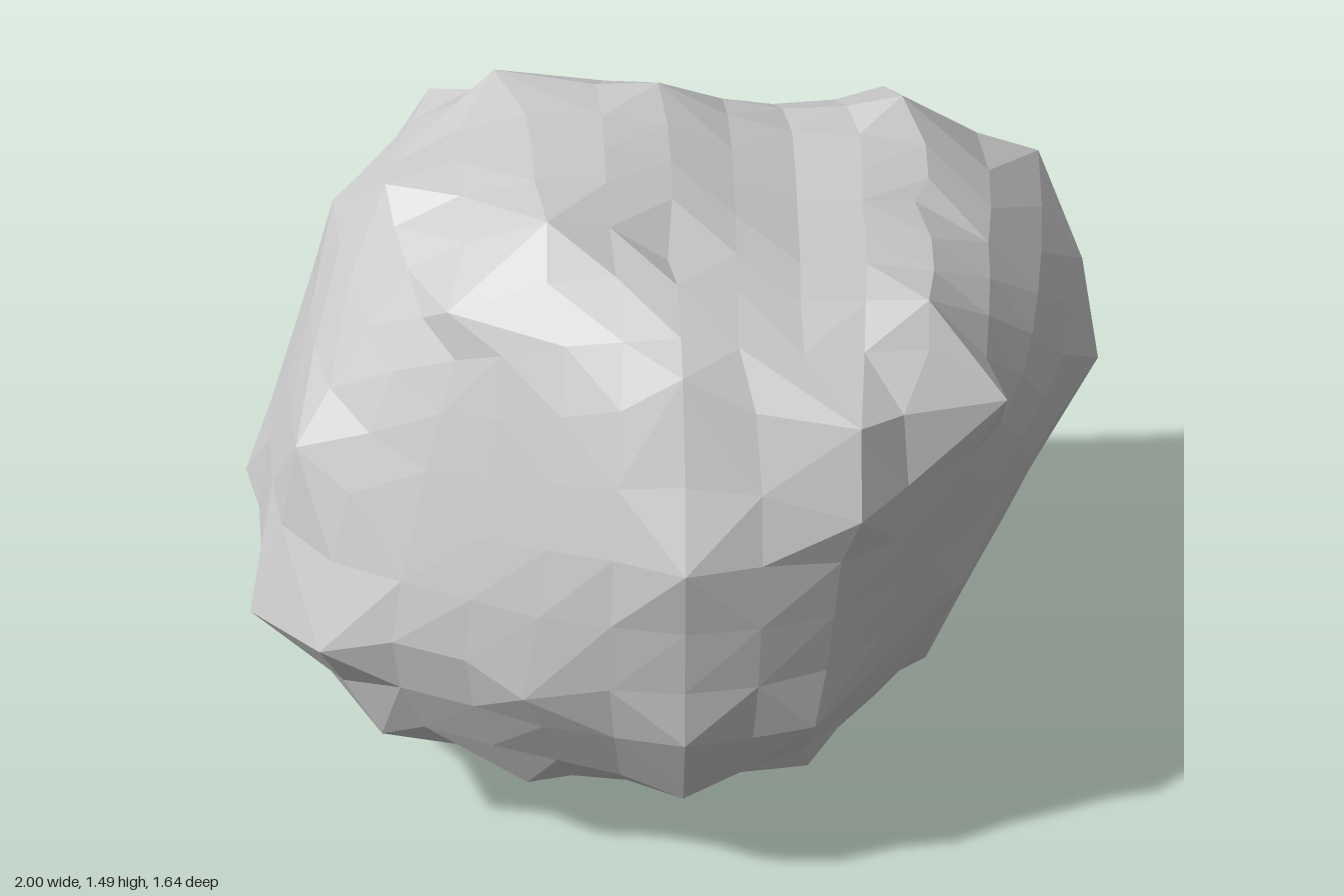
import * as THREE from 'three';
import { mergeVertices } from 'three/addons/utils/BufferGeometryUtils.js';
import { ConvexGeometry } from 'three/addons/geometries/ConvexGeometry.js';

// Corner points that fix the chiselled form of the boulder
const LANDMARKS = [
  // top plateau and the lower hump beside it
  [-0.39, 1.49, -0.36], [-0.27, 1.47, 0.34], [-0.02, 1.48, -0.3], [-0.02, 1.37, 0.33], [0.54, 1.4, -0.38],
  [0.52, 1.32, 0.43], [0.54, 1.3, -0.05], [-0.62, 1.41, 0.04], [-0.75, 1.29, -0.12], [-0.48, 1.31, 0.43],
  // model's right flank
  [-1, 0.55, -0.18], [-0.97, 0.54, -0.4], [-0.95, 0.51, 0.35], [-0.82, 0.95, 0.37], [-0.78, 0.56, 0.58],
  [-0.83, 0.28, -0.1], [-0.77, 1.14, -0.4],
  // front
  [0, 0.9, 0.82], [0.36, 1.0, 0.78], [0.36, 1.18, 0.71], [0, 1.27, 0.65], [0, 0.46, 0.81], [0.28, 0.46, 0.75],
  [-0.34, 0.54, 0.74], [-0.34, 0.21, 0.6], [0, 0.25, 0.72], [0.28, 0.24, 0.6], [-0.66, 0.3, 0.53],
  // model's left flank
  [0.68, 1.14, 0.54], [0.57, 0.31, 0.3], [0.98, 0.98, -0.36], [1, 0.82, -0.17], [0.89, 1.17, -0.55],
  [0.9, 0.5, -0.4], [0.62, 0.3, -0.34], [0.62, 0.62, 0.46],
  // back
  [0.74, 0.84, -0.76], [0.7, 1.15, -0.73], [0.52, 1.32, -0.6], [0, 0.82, -0.82], [0, 0.5, -0.77], [0, 1.28, -0.55],
  [-0.55, 1.34, -0.58], [-0.59, 1.14, -0.64], [0.55, 0.31, -0.62], [-0.26, 0.85, -0.79], [-0.58, 0.4, -0.5],
  // underside
  [-0.02, 0, 0.25], [-0.32, 0.02, -0.08], [0.27, 0.08, 0.1],
].map((p) => new THREE.Vector3(...p));

const CENTER = new THREE.Vector3(0, 0.75, 0);

// Planes of the hull around the landmarks, relative to the centre
function hullPlanes() {
  const p = new ConvexGeometry(LANDMARKS.map((v) => v.clone().sub(CENTER))).attributes.position;
  const planes = [];
  for (let i = 0; i < p.count; i += 3) {
    const [a, b, c] = [0, 1, 2].map((k) => new THREE.Vector3().fromBufferAttribute(p, i + k));
    planes.push(new THREE.Plane().setFromCoplanarPoints(a, b, c));
  }
  return planes;
}

const bump = (d, width) => Math.exp(-((d / width) ** 2));

// Move the nearest free grid point onto each landmark, so the corners stay crisp
function snapToLandmarks(points, directions) {
  const taken = new Set();
  for (const mark of LANDMARKS) {
    const dir = mark.clone().sub(CENTER).normalize();
    let best = -1;
    let bestAngle = 0.2;
    directions.forEach((d, i) => {
      const angle = d.angleTo(dir);
      if (angle < bestAngle && !taken.has(i)) [best, bestAngle] = [i, angle];
    });
    if (best < 0) continue;
    taken.add(best);
    points[best].copy(mark);
  }
  return taken;
}

// Ease the free points toward their neighbours along the grid lines
function relax(points, index, fixed, amount) {
  const neighbours = points.map(() => new Set());
  for (let i = 0; i < index.count; i += 6) {
    const [a, b, d, , c] = index.array.slice(i, i + 6);
    for (const [m, n] of [[a, b], [b, c], [c, d], [d, a]]) {
      neighbours[m].add(n);
      neighbours[n].add(m);
    }
  }
  const means = neighbours.map((set) => {
    const mean = new THREE.Vector3();
    set.forEach((n) => mean.addScaledVector(points[n], 1 / set.size));
    return mean;
  });
  points.forEach((v, i) => fixed.has(i) || v.lerp(means[i], amount));
}

// Split each quad along the diagonal that bulges outward
function splitQuads(index, points) {
  const plane = new THREE.Plane();
  for (let i = 0; i < index.count; i += 6) {
    const [a, b, d, , c] = index.array.slice(i, i + 6);
    plane.setFromCoplanarPoints(points[a], points[b], points[d]);
    if (plane.distanceToPoint(points[c]) > 0) index.array.set([a, b, c, a, c, d], i);
  }
}

function boulderGeometry(segments) {
  const planes = hullPlanes();
  const box = new THREE.BoxGeometry(2, 2, 2, segments, segments, segments);
  box.deleteAttribute('normal');
  box.deleteAttribute('uv');
  const geo = mergeVertices(box);
  const pos = geo.attributes.position;
  const spread = (t) => Math.tan((t * Math.PI) / 4);
  const directions = [];
  const points = [];
  for (let i = 0; i < pos.count; i++) {
    // even cube-sphere direction, pushed out to the hull
    const dir = new THREE.Vector3(spread(pos.getX(i)), spread(pos.getY(i)), spread(pos.getZ(i))).normalize();
    let r = Infinity;
    for (const { normal, constant } of planes) {
      const facing = normal.dot(dir);
      if (facing > 1e-4) r = Math.min(r, -constant / facing);
    }
    const v = dir.clone().multiplyScalar(r).add(CENTER);
    // saddle across the top between the two humps
    const top = THREE.MathUtils.smoothstep(v.y, 1.1, 1.35);
    v.y -= 0.09 * top * bump(v.x - 0.27, 0.2) * bump(v.z + 0.05, 0.6);
    directions.push(dir);
    points.push(v);
  }
  const fixed = snapToLandmarks(points, directions);
  relax(points, geo.index, fixed, 0.4);
  relax(points, geo.index, fixed, 0.3);
  points.forEach((v, i) => pos.setXYZ(i, v.x, v.y, v.z));
  splitQuads(geo.index, points);
  geo.computeVertexNormals();
  return geo;
}

export function createModel() {
  const group = new THREE.Group();
  group.name = 'rock';
  const material = new THREE.MeshStandardMaterial({ color: 0xcccccc, flatShading: true });
  const boulder = new THREE.Mesh(boulderGeometry(8), material);
  boulder.name = 'boulder';
  group.add(boulder);
  return group;
}
